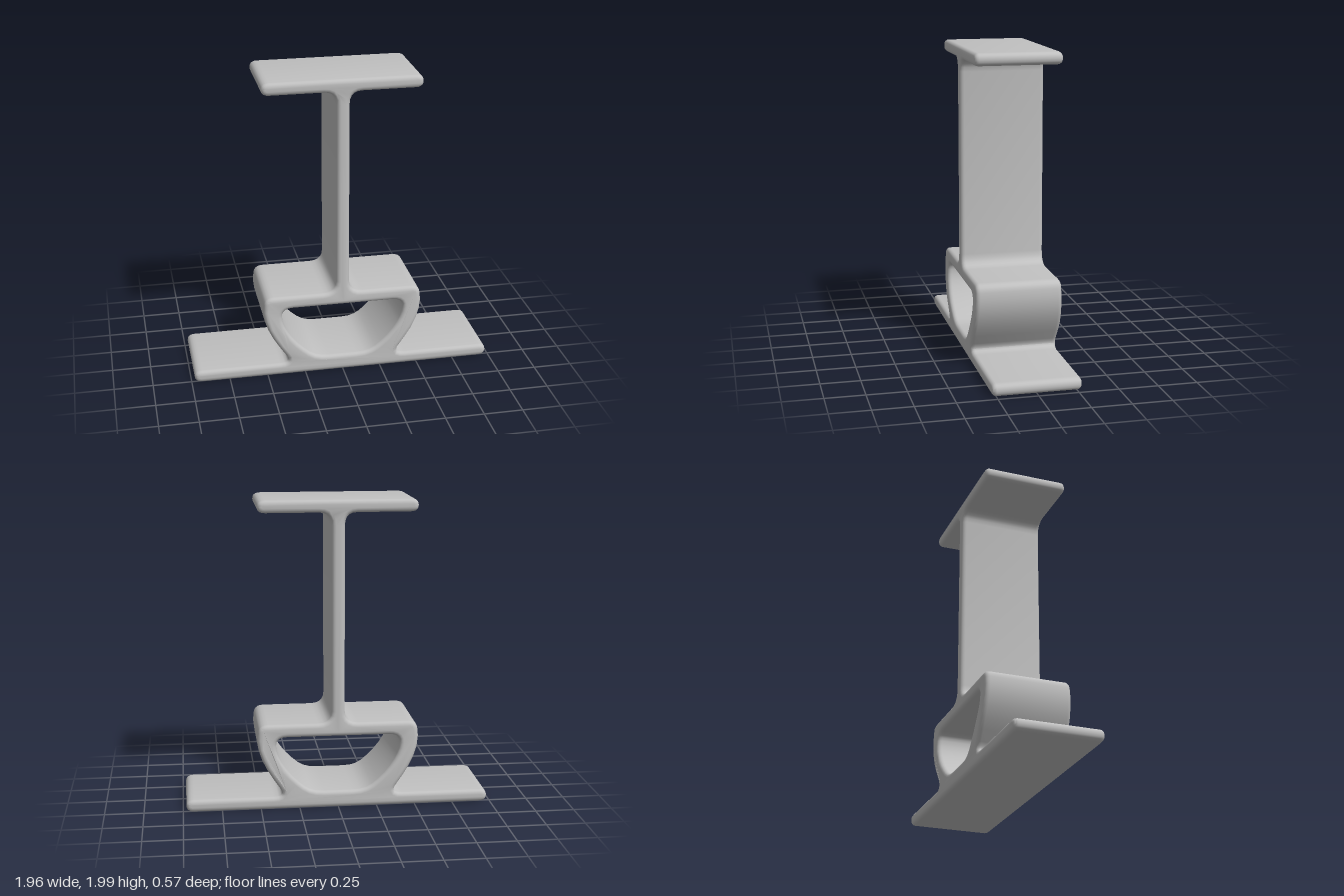
import * as THREE from 'three';
import { toCreasedNormals } from 'three/addons/utils/BufferGeometryUtils.js';

// Mirrors a right-hand half path (bottom to top) into a closed outline.
function mirrored(half) {
  const pts = half.getPoints(5).filter((p, i, a) => i === 0 || p.distanceTo(a[i - 1]) > 1e-4);
  const left = pts.filter((p) => p.x > 1e-4).reverse().map((p) => new THREE.Vector2(-p.x, p.y));
  return [...pts, ...left];
}

export function createModel() {
  const group = new THREE.Group();
  group.name = 'beamProfile';
  const grey = new THREE.MeshStandardMaterial({ color: 0xc0c0c0 });
  grey.name = 'lightGrey';

  // Outer outline: base flange, bowl, web, top flange
  const outer = new THREE.Path();
  outer.moveTo(0, 0.01);
  outer.lineTo(0.93, 0.01);
  outer.quadraticCurveTo(0.98, 0.01, 0.98, 0.05);
  outer.quadraticCurveTo(0.98, 0.09, 0.93, 0.09);
  outer.lineTo(0.42, 0.09);
  outer.bezierCurveTo(0.36, 0.09, 0.35, 0.11, 0.38, 0.15);
  outer.bezierCurveTo(0.45, 0.25, 0.52, 0.36, 0.52, 0.47);
  outer.lineTo(0.515, 0.52);
  outer.quadraticCurveTo(0.51, 0.57, 0.45, 0.57);
  outer.lineTo(0.13, 0.57);
  outer.quadraticCurveTo(0.042, 0.57, 0.042, 0.65);
  outer.lineTo(0.042, 1.84);
  outer.quadraticCurveTo(0.042, 1.92, 0.12, 1.92);
  outer.lineTo(0.455, 1.92);
  outer.quadraticCurveTo(0.505, 1.92, 0.505, 1.96);
  outer.quadraticCurveTo(0.505, 2, 0.455, 2);
  outer.lineTo(0, 2);

  // Opening inside the bowl
  const inner = new THREE.Path();
  inner.moveTo(0, 0.12);
  inner.lineTo(0.09, 0.12);
  inner.bezierCurveTo(0.19, 0.12, 0.22, 0.15, 0.3, 0.23);
  inner.bezierCurveTo(0.37, 0.31, 0.4, 0.37, 0.4, 0.43);
  inner.quadraticCurveTo(0.4, 0.485, 0.33, 0.485);
  inner.lineTo(0, 0.485);

  const shape = new THREE.Shape(mirrored(outer));
  shape.holes.push(new THREE.Path(mirrored(inner)));

  // Extrude with soft rounded edges, centred in depth
  const bevel = 0.028, depth = 0.55;
  const geo = new THREE.ExtrudeGeometry(shape, {
    depth: depth - 2 * bevel, steps: 1,
    bevelEnabled: true, bevelSize: bevel, bevelThickness: bevel, bevelOffset: -bevel, bevelSegments: 4,
  });
  geo.translate(0, 0, -depth / 2 + bevel);

  // Slight swelling of the bowl in depth
  const pos = geo.attributes.position;
  for (let i = 0; i < pos.count; i++) {
    const d = (pos.getY(i) - 0.25) / 0.17;
    pos.setZ(i, pos.getZ(i) * (1 + 0.04 * Math.exp(-d * d)));
  }

  const mesh = new THREE.Mesh(toCreasedNormals(geo, 0.75), grey);
  mesh.name = 'flangedBeam';
  group.add(mesh);
  return group;
}
